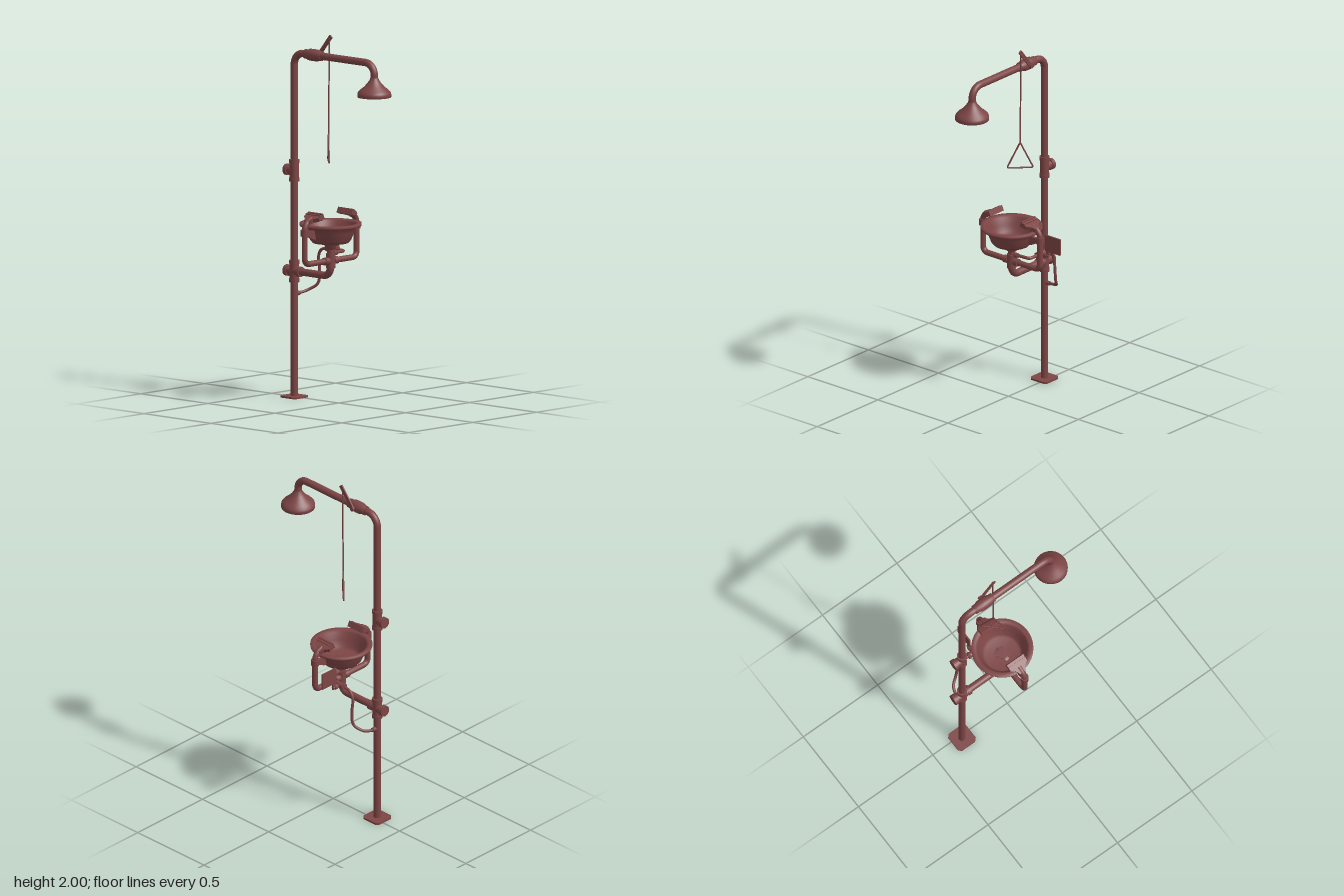
import * as THREE from 'three';
import { mergeGeometries } from 'three/addons/utils/BufferGeometryUtils.js';

const material = new THREE.MeshStandardMaterial({ color: 0x7d4545, side: THREE.DoubleSide });
const V = (x, y, z) => new THREE.Vector3(x, y, z);
const CX = -0.016, POLE_Z = -0.316, BOWL_Z = -0.045;

export function createModel() {
  const model = new THREE.Group();

  function add(name, geometry, parent = model) {
    const mesh = new THREE.Mesh(geometry, material);
    mesh.name = name;
    parent.add(mesh);
    return mesh;
  }

  // Pipe through corner points, each corner rounded by distance r
  function pipe(name, pts, radius, r = 0.05, sides = 20) {
    const parts = [];
    let from = pts[0];
    for (let i = 1; i < pts.length; i++) {
      const p = pts[i];
      if (i === pts.length - 1) {
        parts.push(new THREE.TubeGeometry(new THREE.LineCurve3(from, p), 1, radius, sides));
        break;
      }
      const a = p.clone().add(pts[i - 1].clone().sub(p).setLength(r));
      const b = p.clone().add(pts[i + 1].clone().sub(p).setLength(r));
      parts.push(new THREE.TubeGeometry(new THREE.LineCurve3(from, a), 1, radius, sides));
      // Handles at 0.55 approximate a circular bend
      const bend = new THREE.CubicBezierCurve3(a, a.clone().lerp(p, 0.55), b.clone().lerp(p, 0.55), b);
      parts.push(new THREE.TubeGeometry(bend, 10, radius, sides));
      from = b;
    }
    return add(name, mergeGeometries(parts));
  }

  // Solid cylinder between two points
  function rod(name, a, b, r0, r1 = r0, sides = 24) {
    const mesh = add(name, new THREE.CylinderGeometry(r1, r0, a.distanceTo(b), sides));
    mesh.position.copy(a).add(b).multiplyScalar(0.5);
    mesh.quaternion.setFromUnitVectors(V(0, 1, 0), b.clone().sub(a).normalize());
    return mesh;
  }

  function lathe(name, profile, x, y, z, sides = 40) {
    const mesh = add(name, new THREE.LatheGeometry(profile.map(p => new THREE.Vector2(...p)), sides));
    mesh.position.set(x, y, z);
    return mesh;
  }

  function extrude(points, depth) {
    const shape = new THREE.Shape(points.map(p => new THREE.Vector2(...p)));
    return new THREE.ExtrudeGeometry(shape, { depth, bevelEnabled: false }).translate(0, 0, -depth / 2);
  }

  // Floor plate with clipped corners
  const w = 0.06, c = 0.044;
  const plate = add('basePlate', extrude([[-w, -c], [-c, -w], [c, -w], [w, -c], [w, c], [c, w], [-c, w], [-w, c]], 0.01));
  plate.rotation.x = -Math.PI / 2;
  plate.position.set(CX, 0.005, POLE_Z);

  // Upright, overhead arm and shower head
  pipe('mainPipe', [V(CX, 0, POLE_Z), V(CX, 1.885, POLE_Z), V(CX, 1.885, 0.281), V(CX, 1.79, 0.281)], 0.02, 0.065, 24);
  lathe('showerHead', [[0.021, 0.105], [0.025, 0.094], [0.036, 0.078], [0.055, 0.056], [0.078, 0.038], [0.09, 0.024],
    [0.092, 0.014], [0.092, 0], [0.086, 0], [0.084, 0.014], [0.05, 0.045], [0, 0.06]], CX, 1.704, 0.281);

  // Tee fittings on the upright
  for (const y of [1.24, 0.69]) {
    rod('teeBody', V(CX, y - 0.055, POLE_Z), V(CX, y + 0.055, POLE_Z), 0.025);
    for (const s of [-1, 1])
      rod('teeCollar', V(CX, y + s * 0.04, POLE_Z), V(CX, y + s * 0.06, POLE_Z), 0.028);
    rod('teeBranch', V(CX, y, POLE_Z), V(CX, y, -0.36), 0.025);
    rod('teeBranchCollar', V(CX, y, -0.354), V(CX, y, -0.376), 0.031);
  }
  rod('drainBranch', V(CX, 0.69, POLE_Z), V(CX, 0.69, -0.268), 0.025);
  rod('drainBranchCollar', V(CX, 0.69, -0.285), V(CX, 0.69, -0.265), 0.028);

  // Shower valve on the arm
  const valve = lathe('showerValve', [[0.02, -0.062], [0.026, -0.062], [0.026, -0.042], [0.032, -0.03], [0.033, 0],
    [0.032, 0.03], [0.026, 0.046], [0.026, 0.062], [0.02, 0.062]], CX, 1.885, -0.17, 28);
  valve.rotation.x = Math.PI / 2;
  rod('valveStem', V(CX, 1.885, -0.165), V(0.028, 1.885, -0.165), 0.013);
  const lever = add('valveLever', new THREE.BoxGeometry(0.008, 0.022, 0.145));
  lever.position.set(0.018, 1.938, -0.12);
  lever.rotation.x = -Math.atan2(0.11, 0.09);

  // Pull rod with a triangular handle turned diagonally
  const apex = V(0.01, 1.46, -0.085);
  rod('pullRod', apex, V(0.016, 1.985, -0.085), 0.004, 0.004, 10);
  const bottom = s => V(0.01 + s * 0.05, 1.313, -0.085 - s * 0.052);
  pipe('pullHandle', [apex, bottom(1), bottom(-1), apex], 0.0045, 0.012, 10);

  // Eyewash bowl with a flat rim, drain cup and strainer
  lathe('bowl', [[0, -0.108], [0.098, -0.108], [0.113, -0.09], [0.128, -0.05], [0.141, -0.017], [0.166, -0.017],
    [0.168, -0.012], [0.168, 0], [0.146, 0], [0.136, -0.01], [0.122, -0.05], [0.108, -0.084], [0.095, -0.1], [0, -0.1]],
    CX, 0.983, BOWL_Z, 48);
  lathe('drainCup', [[0, 0.045], [0.045, 0.045], [0.042, 0.025], [0.03, 0.018], [0.03, 0], [0.021, 0]], CX, 0.838, BOWL_Z, 28);
  rod('strainer', V(CX, 0.88, BOWL_Z), V(CX, 0.888, BOWL_Z), 0.028);
  pipe('drainPipe', [V(CX, 0.69, POLE_Z), V(CX, 0.69, BOWL_Z), V(CX, 0.85, BOWL_Z)], 0.02, 0.05, 24);
  rod('crossFitting', V(CX, 0.735, BOWL_Z), V(CX, 0.815, BOWL_Z), 0.025);

  // Yoke pipe that carries water up to both spray heads
  const yoke = [[-0.15, 1.018], [-0.203, 0.993], [-0.203, 0.775], [0.203, 0.775], [0.203, 0.993], [0.15, 1.018]];
  pipe('yokePipe', yoke.map(([x, y]) => V(CX + x, y, BOWL_Z)), 0.016, 0.032);

  for (const s of [-1, 1]) {
    const x = CX + s * 0.203;
    rod('yokeCollar', V(x, 0.93, BOWL_Z), V(x, 0.965, BOWL_Z), 0.022);
    rod('crossCollar', V(CX + s * 0.02, 0.775, BOWL_Z), V(CX + s * 0.05, 0.775, BOWL_Z), 0.021);
    const bracket = add('bowlBracket', extrude([[s * 0.2, 0.955], [s * 0.135, 0.955], [s * 0.123, 0.905], [s * 0.14, 0.905], [s * 0.2, 0.935]], 0.018));
    bracket.position.set(CX, 0, BOWL_Z);

    // Flared spray head tilted up toward the bowl
    const head = new THREE.Group();
    head.name = 'sprayHead';
    head.position.set(CX + s * 0.185, 1.003, BOWL_Z);
    head.rotation.set(0, s > 0 ? Math.PI : 0, 0.42);
    model.add(head);
    const flare = add('sprayFlare', extrude([[0, -0.019], [0.022, -0.028], [0.042, -0.055], [0.075, -0.055],
      [0.075, 0.055], [0.042, 0.055], [0.022, 0.028], [0, 0.019]], 0.022), head);
    flare.rotation.x = -Math.PI / 2;
    for (const u of [0.062, 0.078])
      add('sprayRidge', new THREE.BoxGeometry(0.008, 0.032, 0.111), head).position.x = u;
  }

  // Eyewash supply with its hand valve
  const vy = 0.815, vx = 0.104;
  pipe('supplyPipe', [V(CX, vy, BOWL_Z), V(vx, vy, BOWL_Z - 0.01), V(vx, vy, -0.18)], 0.009, 0.02, 14);
  rod('supplyNut', V(0.005, vy, BOWL_Z), V(0.03, vy, BOWL_Z), 0.014, 0.014, 6);
  rod('handValveBody', V(vx, vy, -0.12), V(vx, vy, -0.178), 0.016);
  for (const z of [-0.112, -0.174])
    rod('handValveNut', V(vx, vy, z), V(vx, vy, z - 0.014), 0.019, 0.019, 6);
  rod('handValveStem', V(vx, vy, -0.15), V(0.158, vy, -0.15), 0.008);
  rod('stemNut', V(0.126, vy, -0.15), V(0.146, vy, -0.15), 0.014, 0.014, 6);
  const arm = add('paddleArm', new THREE.BoxGeometry(0.018, 0.06, 0.006));
  arm.position.set(0.15, 0.835, -0.15);
  add('pushPaddle', new THREE.BoxGeometry(0.106, 0.094, 0.008)).position.set(0.188, 0.887, -0.15);

  // Flexible hose from the upright to the hand valve
  const hose = new THREE.CatmullRomCurve3([V(CX, 0.565, POLE_Z), V(0.03, 0.567, -0.317), V(0.08, 0.58, -0.302),
    V(0.112, 0.615, -0.262), V(0.115, 0.68, -0.252), V(0.106, 0.77, -0.25), V(0.103, 0.805, -0.225), V(vx, vy, -0.18)]);
  add('hose', new THREE.TubeGeometry(hose, 48, 0.008, 12));
  rod('hoseFitting', V(CX, 0.565, POLE_Z), V(0.022, 0.566, -0.317), 0.012);

  return model;
}
